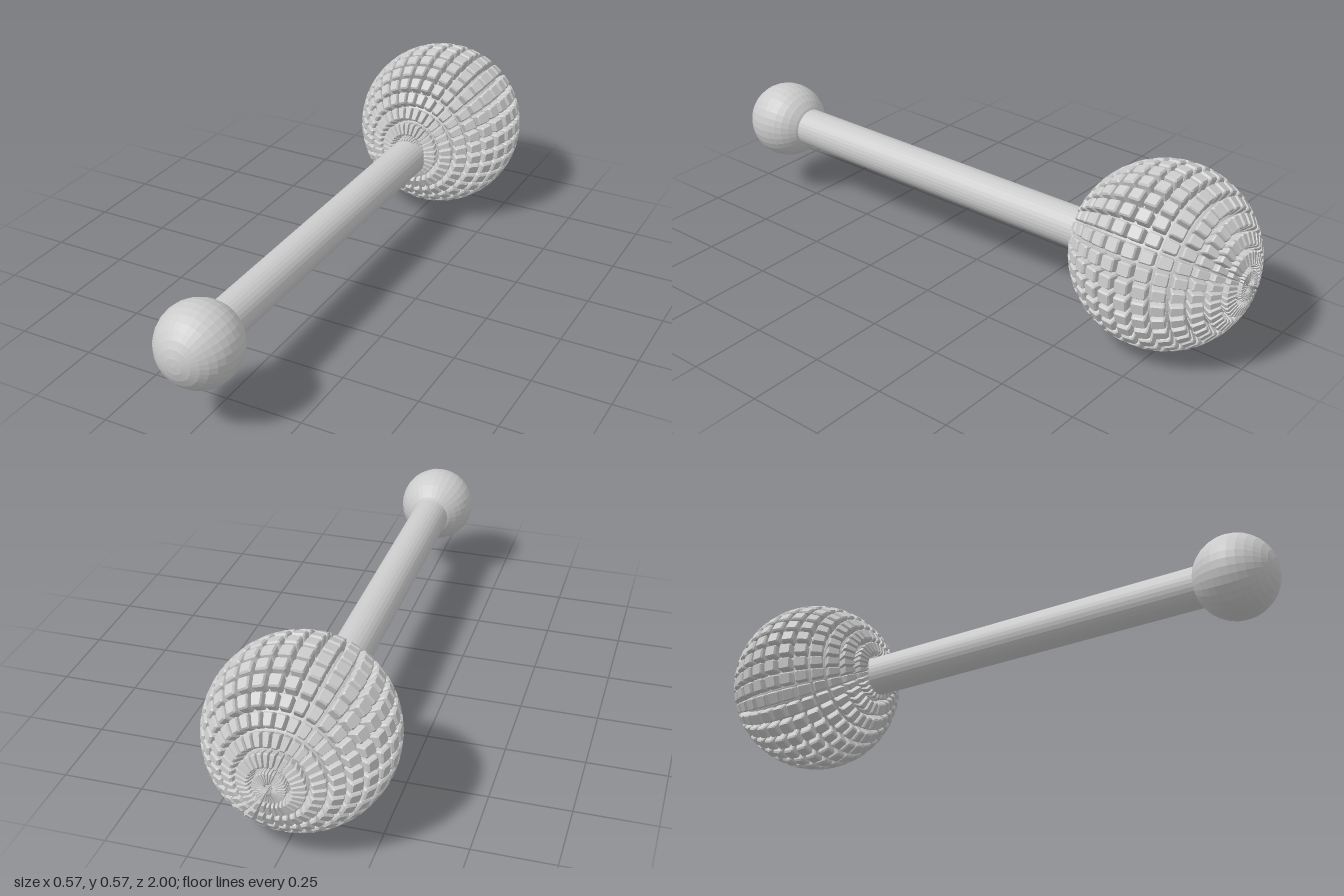
import * as THREE from 'three';

const material = new THREE.MeshStandardMaterial({ color: 0xcccccc, flatShading: true });
const COLUMNS = 32, ROWS = 16;

function addMesh(group, name, geometry, x, y, z) {
  const mesh = new THREE.Mesh(geometry, material);
  mesh.name = name;
  mesh.position.set(x, y, z);
  group.add(mesh);
}

// Sphere whose poles lie on the z axis
const ball = (radius) => new THREE.SphereGeometry(radius, COLUMNS, ROWS).rotateX(Math.PI / 2);

// One raised chamfered block for every cell of a sphere
function studGeometry(radius, height) {
  const positions = [];
  const tri = (a, b, c) => [a, b, c].forEach((p) => positions.push(p.x, p.y, p.z));
  const point = (row, col) => {
    const t = (row / ROWS) * Math.PI, f = (col / COLUMNS) * Math.PI * 2;
    return new THREE.Vector3(Math.sin(t) * Math.cos(f), Math.sin(t) * Math.sin(f), Math.cos(t))
      .multiplyScalar(radius);
  };
  // Inset scale and height of each cross-section of a block
  const sections = [[0.86, -0.004], [0.86, height - 0.006], [0.7, height]];

  for (let row = 0; row < ROWS; row++) {
    for (let col = 0; col < COLUMNS; col++) {
      // Cells touching a pole are triangles
      const corners = [point(row, col), point(row + 1, col)];
      if (row < ROWS - 1) corners.push(point(row + 1, col + 1));
      if (row > 0) corners.push(point(row, col + 1));
      const n = corners.length;
      const centre = corners.reduce((s, p) => s.add(p), new THREE.Vector3()).divideScalar(n);
      const normal = corners[1].clone().sub(corners[0])
        .cross(corners[n - 1].clone().sub(corners[0])).normalize();

      // Cut every corner to chamfer the upright edges
      const outline = corners.flatMap((p, i) => [
        p.clone().lerp(corners[(i + n - 1) % n], 0.1),
        p.clone().lerp(corners[(i + 1) % n], 0.1),
      ]);
      const loops = sections.map(([scale, lift]) => outline.map((p) =>
        centre.clone().lerp(p, scale).addScaledVector(normal, lift)));

      const m = outline.length;
      const top = centre.clone().addScaledVector(normal, height);
      for (let i = 0; i < m; i++) {
        const j = (i + 1) % m;
        for (let k = 0; k < loops.length - 1; k++) {
          const lo = loops[k], hi = loops[k + 1];
          tri(lo[i], lo[j], hi[j]);
          tri(lo[i], hi[j], hi[i]);
        }
        tri(hiLast(loops)[i], hiLast(loops)[j], top);
      }
    }
  }
  const geometry = new THREE.BufferGeometry();
  geometry.setAttribute('position', new THREE.Float32BufferAttribute(positions, 3));
  geometry.computeVertexNormals();
  return geometry;
}

const hiLast = (loops) => loops[loops.length - 1];

export function createModel() {
  const group = new THREE.Group();

  // Rod and its plain end ball
  addMesh(group, 'rod', new THREE.CylinderGeometry(0.064, 0.064, 1.35, 32).rotateX(Math.PI / 2), 0, 0.265, 0.175);
  addMesh(group, 'endBall', ball(0.13), 0, 0.265, 0.87);

  // Studded head
  const head = new THREE.Group();
  head.name = 'studdedHead';
  head.position.set(0, 0.287, -0.715);
  addMesh(head, 'headCore', ball(0.25), 0, 0, 0);
  addMesh(head, 'headStuds', studGeometry(0.25, 0.037), 0, 0, 0);
  group.add(head);

  return group;
}
